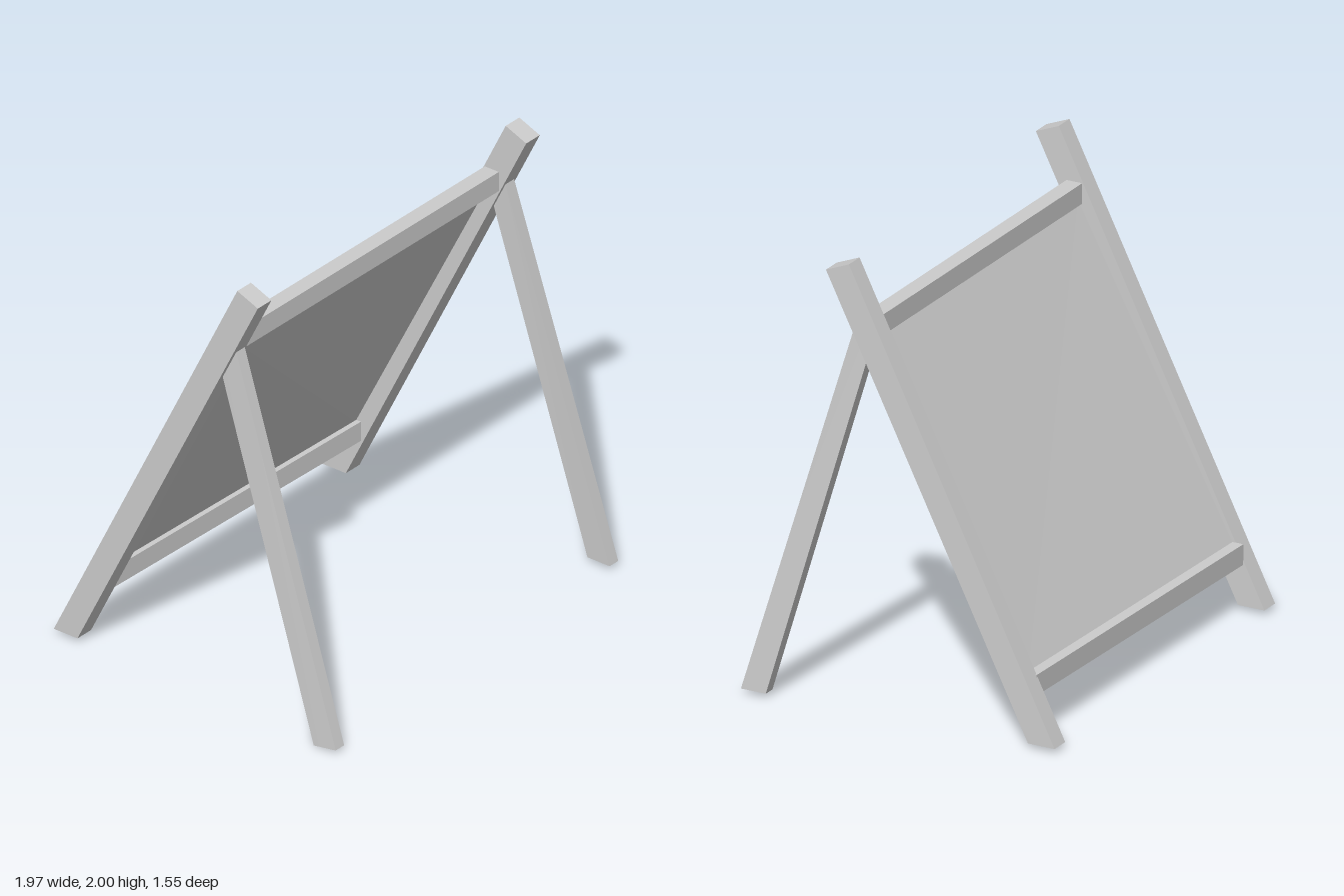
import * as THREE from 'three';

// Six-sided beam between two end sections. Each section gives
// x: [min, max], y: [back, front], z: [back, front].
function beam(name, material, bottom, top) {
  const geometry = new THREE.BoxGeometry(1, 1, 1);
  const p = geometry.attributes.position;
  for (let i = 0; i < p.count; i++) {
    const end = p.getY(i) > 0 ? top : bottom;
    const side = p.getX(i) > 0 ? 1 : 0;
    const front = p.getZ(i) > 0 ? 1 : 0;
    p.setXYZ(i, end.x[side], end.y[front], end.z[front]);
  }
  geometry.computeVertexNormals();
  const mesh = new THREE.Mesh(geometry, material);
  mesh.name = name;
  return mesh;
}

export function createModel() {
  const group = new THREE.Group();
  group.name = 'standingBoard';
  const grey = new THREE.MeshStandardMaterial({ color: 0xcccccc, side: THREE.DoubleSide });
  grey.name = 'light grey';

  // Leaning side posts, cut level at the ground and square at the top
  for (const [name, x] of [['rightPost', [-0.938, -0.848]], ['leftPost', [0.836, 0.926]]]) {
    group.add(beam(name, grey,
      { x, y: [0.02, 0.02], z: [-0.772, -0.645] },
      { x, y: [2.0, 1.955], z: [0.212, 0.322] }));
  }

  // Splayed support legs, their tops sunk into the posts
  group.add(beam('rightLeg', grey,
    { x: [-0.985, -0.928], y: [0, 0.018], z: [0.66, 0.777] },
    { x: [-0.915, -0.858], y: [1.555, 1.7], z: [0.111, 0.183] }));
  group.add(beam('leftLeg', grey,
    { x: [0.925, 0.982], y: [0.02, 0.02], z: [0.578, 0.697] },
    { x: [0.852, 0.909], y: [1.59, 1.71], z: [0.132, 0.197] }));

  // Top rail
  group.add(beam('topRail', grey,
    { x: [-0.85, 0.84], y: [1.673, 1.673], z: [0.1, 0.175] },
    { x: [-0.85, 0.84], y: [1.765, 1.765], z: [0.1, 0.175] }));

  // Bottom rail, turned very slightly about the vertical
  const bottomRail = beam('bottomRail', grey,
    { x: [-0.85, 0.845], y: [0.205, 0.205], z: [-0.038, 0.038] },
    { x: [-0.85, 0.845], y: [0.297, 0.297], z: [-0.038, 0.038] });
  bottomRail.rotation.y = -0.018;
  bottomRail.position.z = -0.617;
  group.add(bottomRail);

  // Thin panel with a slight twist, tucked into both rails
  const sheet = new THREE.PlaneGeometry(1, 1);
  const corners = [
    [-0.85, 1.69, 0.122], [0.84, 1.69, 0.122],
    [-0.85, 0.285, -0.625], [0.84, 0.285, -0.595],
  ];
  corners.forEach((c, i) => sheet.attributes.position.setXYZ(i, ...c));
  sheet.setIndex([0, 2, 3, 0, 3, 1]);
  const flatSheet = sheet.toNonIndexed();
  flatSheet.computeVertexNormals();
  const panel = new THREE.Mesh(flatSheet, grey);
  panel.name = 'panel';
  group.add(panel);

  return group;
}
